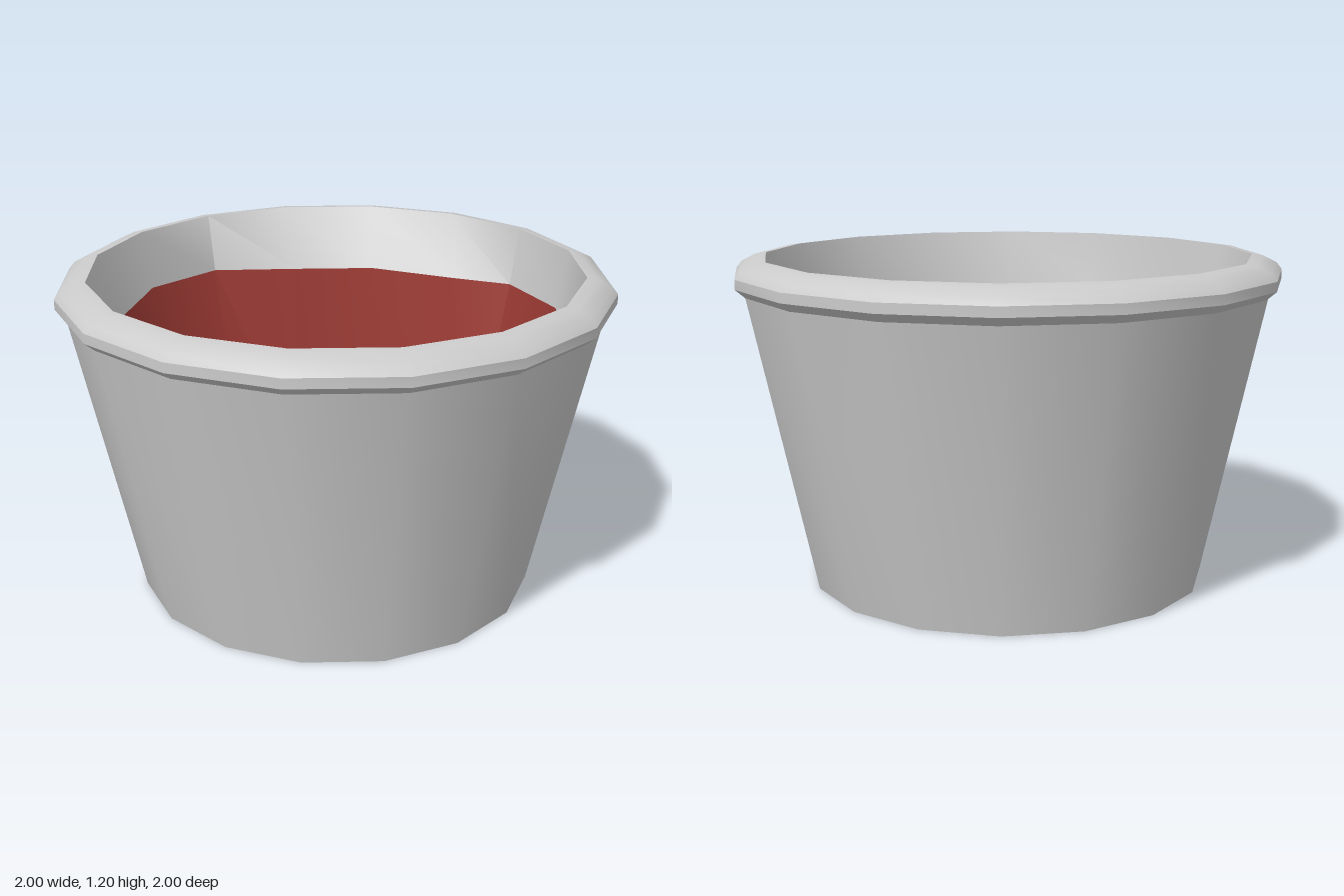
import * as THREE from 'three';
import { toCreasedNormals } from 'three/addons/utils/BufferGeometryUtils.js';

const SIDES = 16;
const FILL_RADIUS = 0.85;
const FILL_HEIGHT = 0.98;

// Uneven spots of the fill edge: side number -> [x, z]
const UNEVEN = {
  6: [0.59, -0.46], 7: [0.31, -0.67], 8: [0, -0.73],
  11: [-0.77, -0.22], 12: [-0.83, 0.1], 13: [-0.78, 0.38],
};

// Revolved part; the ring at profile index edgeRing follows the uneven fill edge
function revolve(name, profile, edgeRing, color) {
  const geometry = new THREE.LatheGeometry(profile.map(([r, y]) => new THREE.Vector2(r, y)), SIDES);
  const position = geometry.attributes.position;
  for (const [side, [x, z]] of Object.entries(UNEVEN)) {
    const i = Number(side) * profile.length + edgeRing;
    position.setX(i, x);
    position.setZ(i, z);
  }
  const material = new THREE.MeshStandardMaterial({ color, side: THREE.DoubleSide });
  const mesh = new THREE.Mesh(toCreasedNormals(geometry, Math.PI / 5), material);
  mesh.name = name;
  return mesh;
}

export function createModel() {
  const group = new THREE.Group();
  group.name = 'cup';

  // Base, tapered wall, rounded rim and the bare inner wall above the filling
  const shell = [
    [0, 0], [0.735, 0], [0.965, 1.08], [1, 1.11], [1, 1.145],
    [0.98, 1.17], [0.93, 1.195], [0.89, 1.2], [FILL_RADIUS, FILL_HEIGHT],
  ];
  group.add(revolve('cupShell', shell, shell.length - 1, 0xcccccc));

  // Red inner wall and floor
  const lining = [[FILL_RADIUS, FILL_HEIGHT], [0.68, 0.2], [0, 0.2]];
  group.add(revolve('redLining', lining, 0, 0x9c3a34));

  return group;
}
